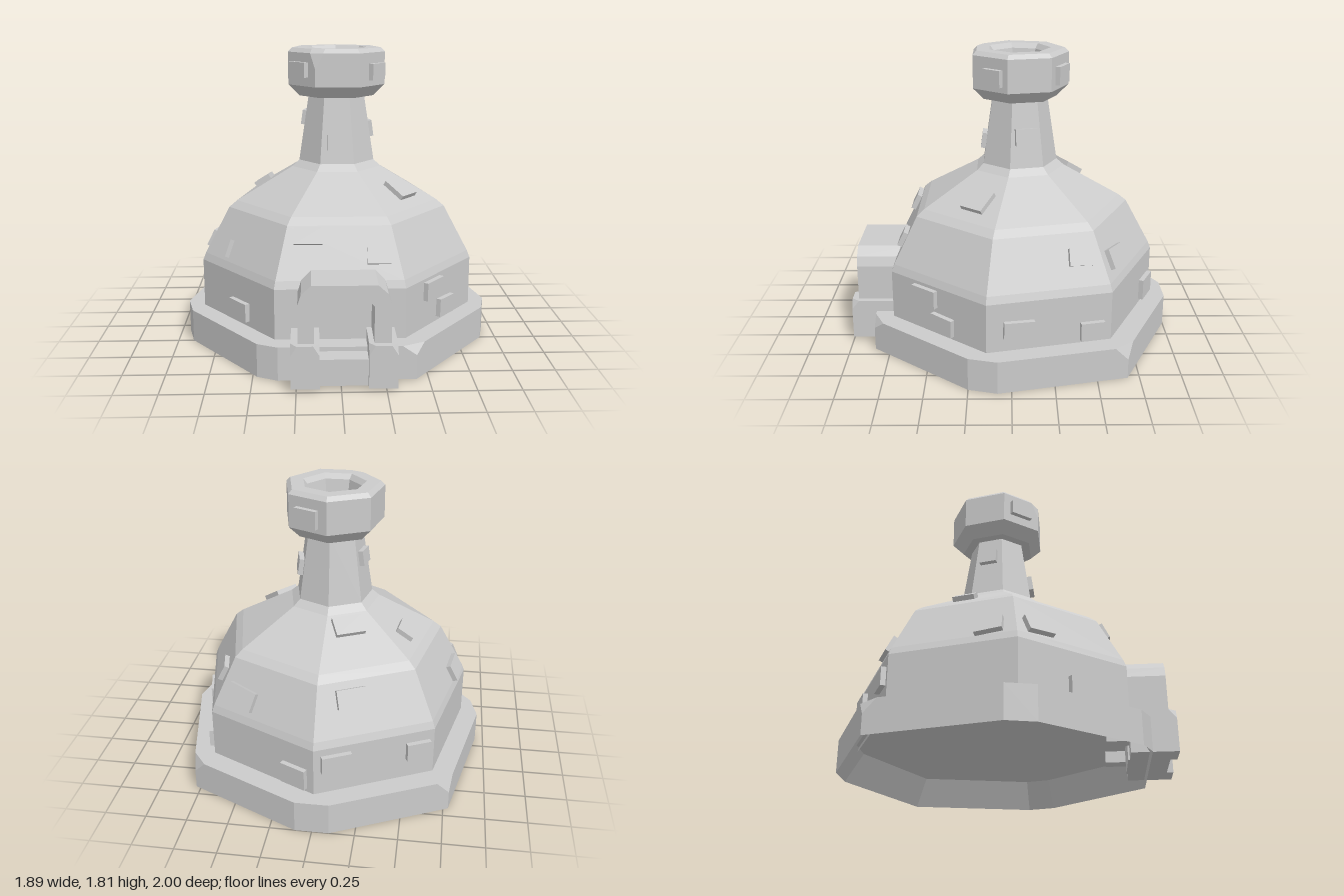
import * as THREE from 'three';
import { ConvexGeometry } from 'three/addons/geometries/ConvexGeometry.js';

const CZ = -0.047;                 // dome axis
const SIDE = Math.PI * 2 / 7;      // seven-sided plan
const FLAT = Math.cos(SIDE / 2);   // corner radius -> face distance
const stone = new THREE.MeshStandardMaterial({ color: 0xcccccc, flatShading: true });
const stoneBoth = new THREE.MeshStandardMaterial({ color: 0xcccccc, flatShading: true, side: THREE.DoubleSide });
const V = (x, y, z) => new THREE.Vector3(x, y, z);

// Dome and neck profile: corner radius, height
const PROFILE = [[0.863, 0.15], [0.863, 0.5], [0.845, 0.545], [0.69, 0.83], [0.64, 0.87],
  [0.285, 1.07], [0.24, 1.11], [0.175, 1.53]];
const CAP = [[0.305, 1.4], [0.305, 1.8]];

function add(parent, name, geometry, material = stone) {
  const mesh = new THREE.Mesh(geometry, material);
  mesh.name = name;
  parent.add(mesh);
  return mesh;
}

// Seven-sided turned surface with a corner at the back
function heptagon(points) {
  const g = new THREE.LatheGeometry(points.map(p => new THREE.Vector2(...p)), 7, Math.PI);
  return g.translate(0, 0, CZ).toNonIndexed();
}

// Corner of the seven-sided plan; index 0 is at +x beside the front face
const corner = (i, r, y) => V(r * Math.sin((i + 0.5) * SIDE), y, CZ + r * Math.cos((i + 0.5) * SIDE));

// Convex hull without its horizontal faces on the given level
function openHull(points, level) {
  const src = new ConvexGeometry(points).getAttribute('position');
  const kept = [];
  for (let i = 0; i < src.count; i += 3) {
    const flat = [0, 1, 2].every(k => Math.abs(src.getY(i + k) - level) < 1e-4);
    if (flat) continue;
    for (let k = 0; k < 3; k++) kept.push(src.getX(i + k), src.getY(i + k), src.getZ(i + k));
  }
  const g = new THREE.BufferGeometry();
  g.setAttribute('position', new THREE.Float32BufferAttribute(kept, 3));
  g.computeVertexNormals();
  return g;
}

// Horizontal polygon (optionally with a hole) at height y
function plate(outline, y, hole) {
  const flat = pts => pts.map(p => new THREE.Vector2(p.x, -p.z));
  const shape = new THREE.Shape(flat(outline));
  if (hole) shape.holes.push(new THREE.Path(flat(hole)));
  return new THREE.ShapeGeometry(shape).rotateX(-Math.PI / 2).translate(0, y, 0);
}

// Box whose two upper front corners are chipped off
function chippedBox(x0, x1, y0, y1, z0, z1, c) {
  const pts = [];
  for (const [x, s] of [[x0, 1], [x1, -1]]) {
    pts.push(V(x, y0, z0), V(x, y1, z0), V(x, y0, z1));
    pts.push(V(x + s * c, y1, z1), V(x, y1 - c * 1.6, z1), V(x, y1, z1 - c * 1.3));
  }
  return new ConvexGeometry(pts);
}

function makeBase() {
  const base = new THREE.Group();
  base.name = 'base';
  const bottom = [[-0.1, -1], [0.1, -1], [0.78, -0.68], [0.947, 0.08], [0.905, 0.25], [0.43, 0.845],
    [-0.355, 0.845], [-0.475, 0.79], [-0.905, 0.25], [-0.947, 0.08], [-0.78, -0.68]].map(([x, z]) => V(x, 0, z));
  const chips = { 2: 0.12, 5: 0.145, 10: 0.12 };   // height where a chipped corner starts
  const points = [];
  bottom.forEach((p, i) => {
    points.push(p);
    if (!(i in chips)) return points.push(V(p.x, 0.2, p.z));
    points.push(V(p.x, chips[i], p.z));
    for (const n of [bottom[(i + 10) % 11], bottom[(i + 1) % 11]]) {
      const q = p.clone().addScaledVector(n.clone().sub(p).normalize(), 0.08);
      points.push(V(q.x, 0.2, q.z));
    }
  });
  add(base, 'plinth', openHull(points, 0));

  // Hollow underside: sloping rim up to a flat floor
  const inner = bottom.map(p => V(p.x * 0.89, 0.17, p.z * 0.89));
  const rim = [];
  bottom.forEach((p, i) => {
    const j = (i + 1) % 11;
    for (const v of [p, inner[i], bottom[j], bottom[j], inner[i], inner[j]]) rim.push(v.x, v.y, v.z);
  });
  const g = new THREE.BufferGeometry();
  g.setAttribute('position', new THREE.Float32BufferAttribute(rim, 3));
  g.computeVertexNormals();
  add(base, 'undersideRim', g, stoneBoth);
  add(base, 'undersideFloor', plate(inner, 0.17), stoneBoth);
  return base;
}

function makeCap() {
  const cap = new THREE.Group();
  cap.name = 'chimneyCap';
  const points = [], top = [];
  for (let i = 0; i < 7; i++) {
    points.push(corner(i, 0.235, 1.515), corner(i, 0.305, 1.585));
    if (i !== 6) {
      points.push(corner(i, 0.305, 1.785));
      top.push(corner(i, 0.28, 1.81));
      continue;
    }
    // One broken corner at the front
    points.push(corner(i, 0.305, 1.69));
    for (const n of [5, 7]) {
      points.push(corner(i, 0.305, 1.785).lerp(corner(n, 0.305, 1.785), 0.18));
      top.push(corner(i, 0.28, 1.81).lerp(corner(n, 0.28, 1.81), 0.2));
    }
  }
  add(cap, 'capBlock', openHull([...points, ...top], 1.81));
  const hole = [0, 1, 2, 3, 4, 5, 6].map(i => corner(i, 0.195, 1.81));
  add(cap, 'capRim', plate(top, 1.81, hole), stoneBoth);
  add(cap, 'flue', heptagon([[0.195, 1.81], [0.17, 1.78], [0.13, 1.56], [0, 1.56]]), stoneBoth);
  return cap;
}

function makeDoorway() {
  const door = new THREE.Group();
  door.name = 'doorway';
  const arch = new THREE.Shape([[-0.24, 0.1], [-0.24, 0.49], [-0.22, 0.55], [-0.165, 0.6], [0.2, 0.6], [0.255, 0.55],
    [0.275, 0.49], [0.275, 0.1], [0.18, 0.1], [0.18, 0.48], [0.135, 0.53], [-0.1, 0.53], [-0.15, 0.48], [-0.15, 0.1]]
    .map(p => new THREE.Vector2(...p)));
  add(door, 'arch', new THREE.ExtrudeGeometry(arch, { depth: 0.36, bevelEnabled: false }).translate(0, 0, 0.6));
  add(door, 'threshold', new THREE.BoxGeometry(0.3, 0.155, 0.24).translate(0.015, 0.0975, 0.84));
  add(door, 'rightPost', chippedBox(-0.28, -0.12, 0.02, 0.27, 0.73, 1, 0.035));
  add(door, 'leftPost', chippedBox(0.15, 0.31, 0.02, 0.27, 0.73, 1, 0.035));
  return door;
}

// Raised brick on face k (0 = front, counted towards +x), u along the face
function makeBrick([k, u, y, w, h, roll = 0], profile) {
  const i = Math.max(1, profile.findIndex(p => p[1] >= y));
  const [[r0, y0], [r1, y1]] = [profile[i - 1], profile[i]];
  const dist = FLAT * (r0 + (r1 - r0) * (y - y0) / (y1 - y0));
  const a = k * SIDE;
  const brick = new THREE.Mesh(new THREE.BoxGeometry(w, h, 0.06), stone);
  brick.name = 'brick';
  brick.position.set(dist * Math.sin(a) + u * Math.cos(a), y, CZ + dist * Math.cos(a) - u * Math.sin(a));
  brick.rotation.set(-Math.atan2(FLAT * (r0 - r1), y1 - y0), a, roll, 'YXZ');
  return brick;
}

export function createModel() {
  const model = new THREE.Group();
  model.name = 'domedKiln';
  model.add(makeBase());
  add(model, 'domeAndNeck', heptagon(PROFILE));
  model.add(makeCap(), makeDoorway());

  const bricks = new THREE.Group();
  bricks.name = 'bricks';
  // face, offset, height, width, height, roll
  const wall = [
    [0, -0.18, 0.775, 0.165, 0.1], [0, 0.225, 0.67, 0.135, 0.095], [0, 0, 1.24, 0.115, 0.095],
    [1, -0.09, 0.425, 0.18, 0.11], [1, 0.05, 0.28, 0.16, 0.11, -0.04], [1, 0.05, 0.95, 0.16, 0.15],
    [-1, -0.21, 0.61, 0.17, 0.11, 0.05], [-1, 0.04, 0.29, 0.17, 0.11],
    [2, 0.0, 1.3, 0.135, 0.1], [2, 0.2, 0.7, 0.135, 0.1, -0.05],
    [2, -0.185, 0.335, 0.18, 0.1, -0.03], [2, 0.256, 0.275, 0.145, 0.11],
    [-2, 0, 1.37, 0.11, 0.09], [-2, -0.04, 0.93, 0.13, 0.11, 0.1], [-2, 0.2, 0.6, 0.16, 0.11, 0.1],
    [3, -0.18, 0.64, 0.2, 0.12, -0.12], [3, 0.243, 0.29, 0.17, 0.13],
    [-3, -0.11, 0.74, 0.18, 0.11], [-3, -0.02, 1.02, 0.18, 0.12],
    [-3, -0.24, 0.4, 0.18, 0.11], [-3, 0.27, 0.38, 0.15, 0.11],
  ];
  const cap = [[1, 0.03, 1.67, 0.13, 0.1], [-1, -0.01, 1.685, 0.15, 0.09], [3, 0.0, 1.67, 0.15, 0.11]];
  wall.forEach(b => bricks.add(makeBrick(b, PROFILE)));
  cap.forEach(b => bricks.add(makeBrick(b, CAP)));
  model.add(bricks);
  return model;
}
